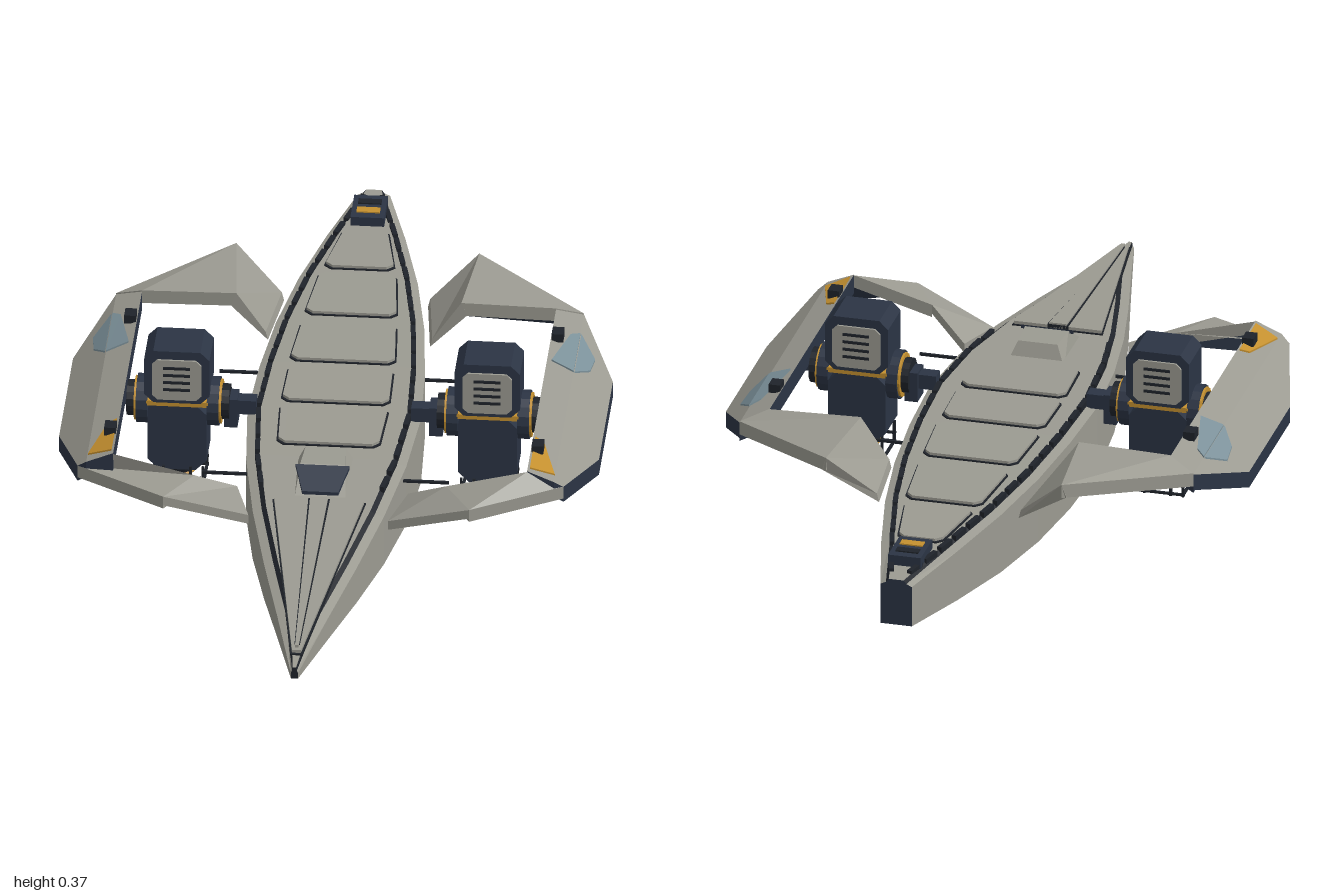
import * as THREE from 'three';

const mat = (name, color) => {
  const m = new THREE.MeshStandardMaterial({ color, flatShading: true });
  m.name = name;
  return m;
};

export function createModel() {
  const root = new THREE.Group();
  const grey = mat('hull grey', 0x9b9a91);
  const navy = mat('navy', 0x2b3444);
  const dark = mat('charcoal', 0x1f232a);
  const amber = mat('amber', 0xc4902f);
  const glass = mat('blue glass', 0x7c919a);

  const add = (parent, name, geo, m, x = 0, y = 0, z = 0) => {
    const mesh = new THREE.Mesh(geo, m);
    mesh.name = name;
    mesh.position.set(x, y, z);
    parent.add(mesh);
    return mesh;
  };
  const box = (parent, name, m, w, h, d, x, y, z) => add(parent, name, new THREE.BoxGeometry(w, h, d), m, x, y, z);

  // Triangles collected per material become one grouped geometry
  const fromFaces = (lists) => {
    const geo = new THREE.BufferGeometry(), pos = [];
    lists.forEach((tris, i) => {
      geo.addGroup(pos.length / 3, tris.length, i);
      tris.forEach((p) => pos.push(...p));
    });
    geo.setAttribute('position', new THREE.Float32BufferAttribute(pos, 3));
    geo.computeVertexNormals();
    return geo;
  };

  // Solid between two convex rings of [x, y, z]; materials: top, sides, bottom
  const solid = (parent, name, top, bottom, mats) => {
    let area = 0;
    top.forEach((p, i) => {
      const q = top[(i + 1) % top.length];
      area += p[2] * q[0] - q[2] * p[0];
    });
    const t = area > 0 ? top : [...top].reverse();
    const b = area > 0 ? bottom : [...bottom].reverse();
    const up = [], side = [], down = [];
    t.forEach((p, i) => {
      const j = (i + 1) % t.length;
      side.push(b[i], b[j], t[j], b[i], t[j], p);
      if (i > 0 && j > 0) {
        up.push(t[0], p, t[j]);
        down.push(b[0], b[j], b[i]);
      }
    });
    return add(parent, name, fromFaces([up, side, down]), mats);
  };
  const slab = (parent, name, top, h, a, b = a, c = b) =>
    solid(parent, name, top, top.map(([x, y, z]) => [x, y - h, z]), [a, b, c]);

  // Hull stations: z, half width, bottom y, shoulder y
  const stations = [
    [-1, 0.036, 0.09, 0.186], [-0.8, 0.088, 0.07, 0.19], [-0.6, 0.133, 0.052, 0.192], [-0.4, 0.165, 0.039, 0.192],
    [-0.2, 0.184, 0.031, 0.192], [0, 0.193, 0.03, 0.19], [0.2, 0.178, 0.035, 0.182], [0.4, 0.146, 0.045, 0.166],
    [0.6, 0.103, 0.058, 0.146], [0.8, 0.055, 0.072, 0.125], [1, 0.008, 0.086, 0.1]];
  const at = (z, k) => {
    const i = Math.max(1, stations.findIndex((s) => s[0] >= z));
    const a = stations[i - 1], b = stations[i];
    return a[k] + (b[k] - a[k]) * (z - a[0]) / (b[0] - a[0]);
  };
  const deckY = (z) => at(z, 3) + 0.014;
  const ring = ([z, w, b, t]) => {
    const e = Math.min(0.02, w * 0.35), f = e * 1.5;
    return [[-w, b, z], [w, b, z], [w, t, z], [w - e, t + 0.006, z], [w - f, t + 0.014, z],
      [f - w, t + 0.014, z], [e - w, t + 0.006, z], [-w, t, z]];
  };
  const rings = stations.map(ring);
  const column = [1, 0, 0, 1, 0, 1, 0, 0]; // 0 grey, 1 charcoal, 2 navy
  const faces = [[], [], []];
  for (let i = 0; i < rings.length - 1; i++) {
    for (let j = 0; j < 8; j++) {
      const k = (j + 1) % 8, A = rings[i], B = rings[i + 1];
      faces[column[j]].push(A[j], A[k], B[k], A[j], B[k], B[j]);
    }
  }
  const tail = rings[0], nose = rings[rings.length - 1];
  for (let j = 1; j < 7; j++) {
    faces[2].push(tail[0], tail[j + 1], tail[j]);
    faces[1].push(nose[0], nose[j], nose[j + 1]);
  }
  add(root, 'hull', fromFaces(faces), [grey, dark, navy]);

  // Deck panels with a thin dark outline
  const panel = (name, z0, z1, w0, w1, lift, m) => {
    const c = 0.015, pts = [];
    for (const s of [1, -1]) {
      const half = [[w0 - c, z0], [w0, z0 + c], [w1, z1 - c], [w1 - c, z1]].map(([x, z]) => [s * x, deckY(z) + lift, z]);
      pts.push(...(s > 0 ? half : half.reverse()));
    }
    slab(root, name, pts, lift + 0.002, m);
  };
  [[-0.8, -0.63, 0.05, 0.075], [-0.6, -0.42, 0.085, 0.1], [-0.375, -0.21, 0.105, 0.115],
    [-0.175, -0.03, 0.115, 0.118], [-0.005, 0.15, 0.118, 0.112]].forEach(([a, b, u, v]) => {
    panel('panelSeam', a - 0.004, b + 0.004, u + 0.004, v + 0.004, 0.003, dark);
    panel('deckPanel', a, b, u, v, 0.009, grey);
  });

  // Foredeck wedge, seams and spine
  const wedge = (name, z0, z1, w0, w1, lift, m) =>
    slab(root, name, [[w0, z0], [w1, z1], [-w1, z1], [-w0, z0]].map(([x, z]) => [x, deckY(z) + lift, z]), lift + 0.004, m);
  wedge('foredeckSeam', 0.376, 0.955, 0.104, 0.013, 0.003, dark);
  wedge('foredeck', 0.38, 0.95, 0.1, 0.01, 0.01, grey);
  wedge('spineSeam', 0.38, 0.93, 0.024, 0.006, 0.012, dark);
  wedge('spine', 0.38, 0.94, 0.02, 0.004, 0.016, grey);

  // Raised cabin and its sloped window
  solid(root, 'cabin',
    [[-0.045, 0.228, 0.21], [-0.05, 0.228, 0.285], [0.05, 0.228, 0.285], [0.045, 0.228, 0.21]],
    [[-0.066, 0.18, 0.19], [-0.08, 0.17, 0.31], [-0.058, 0.17, 0.375], [0.058, 0.17, 0.375], [0.08, 0.17, 0.31], [0.066, 0.18, 0.19]]
      .filter((_, i) => i !== 1 && i !== 4), [grey, grey, grey]);
  slab(root, 'cabinWindow', [[-0.06, 0.228, 0.29], [0.06, 0.228, 0.29], [0.04, 0.195, 0.352], [-0.04, 0.195, 0.352]], 0.008, navy);

  // Tail housing
  box(root, 'tailHousing', navy, 0.075, 0.026, 0.1, 0, 0.212, -0.88);
  box(root, 'tailStripe', amber, 0.052, 0.004, 0.022, 0, 0.226, -0.862);
  box(root, 'tailSlot', dark, 0.052, 0.004, 0.02, 0, 0.226, -0.9);

  // Belly sensor
  add(root, 'bellyRing', new THREE.CylinderGeometry(0.085, 0.08, 0.014, 24), navy, 0, 0.023, -0.09);
  add(root, 'bellyCollar', new THREE.CylinderGeometry(0.078, 0.07, 0.014, 24), grey, 0, 0.009, -0.09);
  add(root, 'bellyLens', new THREE.CylinderGeometry(0.05, 0.05, 0.004, 24), glass, 0, 0.002, -0.09);

  // Chamfered rectangle extruded along z, centred
  const chamferBox = (w, h, d, c) => {
    const x = w / 2, y = h / 2;
    const s = new THREE.Shape([[x - c, -y], [x, c - y], [x, y - c], [x - c, y], [c - x, y], [-x, y - c], [-x, c - y], [c - x, -y]]
      .map((p) => new THREE.Vector2(...p)));
    return new THREE.ExtrudeGeometry(s, { depth: d, bevelEnabled: false }).translate(0, 0, -d / 2);
  };

  // Pod top height across x
  const podY = (x) => x < 0.52 ? 0.272 - (x - 0.46) * 0.42 : 0.247 - (x - 0.52) * 0.82;

  for (const s of [1, -1]) {
    const side = new THREE.Group();
    side.name = s > 0 ? 'leftWing' : 'rightWing';
    root.add(side);
    const flip = (pts) => pts.map(([x, y, z]) => [s * x, y, z]);
    const onPod = (pts, lift = 0) => flip(pts.map(([x, z]) => [x, podY(x) + lift, z]));

    // Outer pod: inner shelf and sloped outer shell
    slab(side, 'podInner', onPod([[0.46, -0.375], [0.52, -0.4], [0.52, 0.355], [0.46, 0.355]]), 0.045, grey, navy);
    slab(side, 'podOuter', onPod([[0.52, -0.4], [0.6, -0.22], [0.6, 0.13], [0.54, 0.345], [0.52, 0.355]]), 0.038, grey, navy);
    slab(side, 'podWindow', onPod([[0.522, -0.31], [0.558, -0.25], [0.552, -0.19], [0.522, -0.14]], 0.004), 0.006, glass);
    slab(side, 'podWindowInner', onPod([[0.5, -0.29], [0.52, -0.31], [0.52, -0.14], [0.47, -0.15]], 0.004), 0.006, glass);
    slab(side, 'podMarking', onPod([[0.465, 0.2], [0.485, 0.21], [0.519, 0.325], [0.465, 0.34]], 0.004), 0.006, amber);
    for (const z of [-0.255, 0.25]) box(side, 'podLamp', dark, 0.026, 0.02, 0.034, s * 0.475, 0.276, z);

    // Front arm
    slab(side, 'frontArmRoot', flip([[0.155, 0.158, 0.405], [0.34, 0.222, 0.452], [0.28, 0.222, 0.35], [0.19, 0.165, 0.29]]), 0.022, grey, grey, navy);
    slab(side, 'frontArmTip', flip([[0.34, 0.222, 0.452], [0.54, 0.231, 0.345], [0.46, 0.27, 0.355], [0.28, 0.222, 0.35]]), 0.03, grey, grey, navy);

    // Rear arm
    slab(side, 'rearArm', flip([[0.25, 0.28, -0.37], [0.46, 0.275, -0.373], [0.52, 0.25, -0.4], [0.27, 0.28, -0.595]]), 0.032, grey, grey, navy);
    solid(side, 'rearArmRoot', flip([[0.185, 0.185, -0.37], [0.25, 0.28, -0.37], [0.27, 0.28, -0.595], [0.165, 0.185, -0.55]]),
      flip([[0.18, 0.165, -0.37], [0.262, 0.248, -0.37], [0.28, 0.248, -0.59], [0.16, 0.165, -0.55]]), [grey, grey, navy]);

    // Side rods and edge rail blocks
    for (const z of [-0.23, 0.225]) box(side, 'sideRod', dark, 0.11, 0.006, 0.006, s * 0.22, 0.16, z);
    for (let z = -0.94; z < 0.3; z += 0.065) {
      const rail = box(side, 'edgeRail', dark, 0.011, 0.014, 0.05, s * (at(z, 1) - 0.025), deckY(z), z);
      rail.rotation.y = s * Math.atan((at(z + 0.03, 1) - at(z - 0.03, 1)) / 0.06);
    }

    // Engine
    const engine = new THREE.Group();
    engine.name = 'engine';
    engine.position.x = s * 0.345;
    side.add(engine);
    add(engine, 'engineHead', chamferBox(0.145, 0.13, 0.108, 0.02), navy, 0, 0.3, 0);
    add(engine, 'engineBand', chamferBox(0.138, 0.012, 0.104, 0.002), amber, 0, 0.231, 0);
    add(engine, 'engineBody', chamferBox(0.132, 0.165, 0.1, 0.025), navy, 0, 0.147, 0);
    for (const f of [1, -1]) {
      add(engine, 'enginePlate', chamferBox(0.11, 0.1, 0.008, 0.012), grey, 0, 0.295, f * 0.055);
      for (let i = 0; i < 4; i++) box(engine, 'engineVent', dark, 0.06, 0.006, 0.004, 0, 0.272 + i * 0.018, f * 0.06);
    }
    // Swivel hubs on both sides, with amber rims
    const hub = (name, r, w, m, x) => { add(engine, name, new THREE.CylinderGeometry(r, r, w, 16), m, x, 0.215, 0).rotation.z = Math.PI / 2; };
    for (const e of [1, -1]) {
      hub('hubDisc', 0.055, 0.026, navy, e * 0.079);
      hub('hubRim', 0.05, 0.006, amber, e * 0.094);
      hub('hubCap', 0.04, 0.02, dark, e * 0.104);
    }
    box(side, 'engineStrut', navy, 0.065, 0.034, 0.034, s * 0.205, 0.21, 0);
    box(side, 'strutBlock', navy, 0.03, 0.07, 0.05, s * 0.228, 0.198, 0);
    box(side, 'podStrut', navy, 0.03, 0.03, 0.05, s * 0.458, 0.225, 0);

    // Exhaust and the open cage below it
    add(engine, 'exhaust', new THREE.CylinderGeometry(0.046, 0.038, 0.022, 16), dark, 0, 0.056, 0);
    add(engine, 'exhaustRing', new THREE.TorusGeometry(0.036, 0.005, 6, 20), amber, 0, 0.046, 0).rotation.x = Math.PI / 2;
    for (const f of [1, -1]) {
      for (const x of [-0.058, -0.03, 0.03, 0.058]) box(engine, 'cagePost', dark, 0.006, 0.055, 0.006, x, 0.047, f * 0.052);
      for (const y of [0.024, 0.045]) box(engine, 'cageBar', dark, 0.124, 0.005, 0.006, 0, y, f * 0.052);
      box(engine, 'cageSideBar', dark, 0.006, 0.005, 0.104, f * 0.058, 0.024, 0);
    }
  }
  return root;
}
